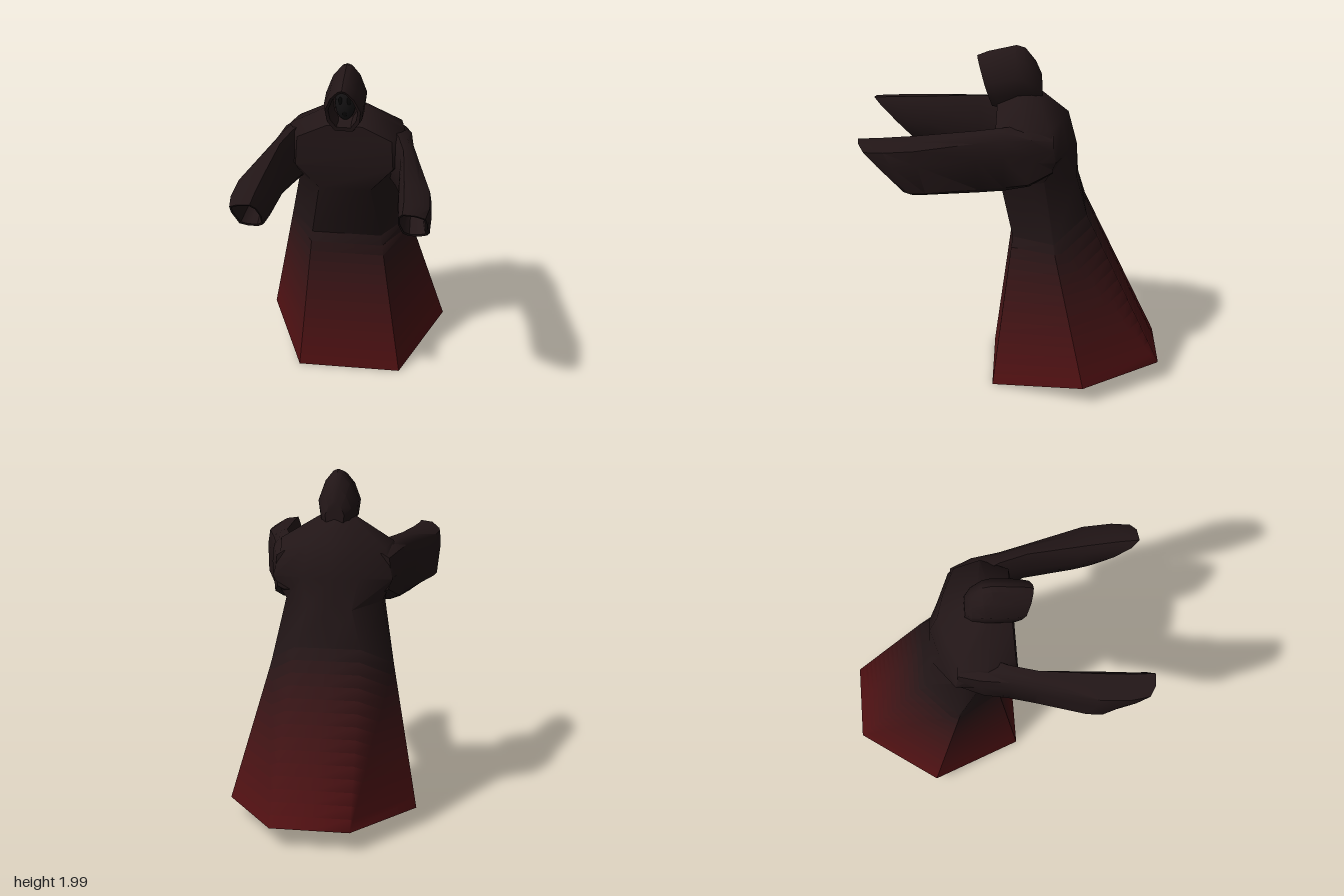
import * as THREE from 'three';
import { toCreasedNormals } from 'three/addons/utils/BufferGeometryUtils.js';

const V = (x, y, z) => new THREE.Vector3(x, y, z);
const lerp = THREE.MathUtils.lerp;

// Skin a list of rings; each ring runs counter-clockwise seen from the loft's end.
function loft(rings, capStart, capEnd, crease) {
  const pos = [];
  const quad = (a, b, c, d) => [a, b, c, a, c, d].forEach(p => pos.push(p.x, p.y, p.z));
  const n = rings[0].length;
  for (let i = 0; i < rings.length - 1; i++) {
    for (let j = 0; j < n; j++) {
      const k = (j + 1) % n;
      quad(rings[i][j], rings[i][k], rings[i + 1][k], rings[i + 1][j]);
    }
  }
  // Caps are strips across the ring, joining opposite points
  for (let j = 0; j < (n - 1) / 2; j++) {
    const strip = r => [r[j], r[j + 1], r[n - 2 - j], r[n - 1 - j]];
    if (capStart) quad(...strip(rings[0]).reverse());
    if (capEnd) quad(...strip(rings[rings.length - 1]));
  }
  const g = new THREE.BufferGeometry();
  g.setAttribute('position', new THREE.Float32BufferAttribute(pos, 3));
  return toCreasedNormals(g, crease);
}

// Body ring from its left half (front, side, fold, back), mirrored about the spine point.
function bodyRing(half, spine) {
  const side = s => half.map(([x, y, z]) => V(spine[0] + s * x, y, z));
  return [...side(1), V(...spine), ...side(-1).reverse()];
}

// Ring facing +z from a unit outline, slanted so that z varies with height.
function slantRing(outline, [x0, x1, y0, y1, z0, z1]) {
  return outline.map(([u, v]) => V(lerp(x0, x1, u), lerp(y0, y1, v), lerp(z0, z1, v)));
}

export function createModel() {
  const model = new THREE.Group();
  const cloth = new THREE.Color(0x221617), red = new THREE.Color(0x521012);
  const material = color => new THREE.MeshStandardMaterial({ color, side: THREE.DoubleSide });
  const clothMat = material(cloth);
  const add = (name, geometry, mat, parent) => {
    const mesh = new THREE.Mesh(geometry, mat);
    mesh.name = name;
    parent.add(mesh);
    return mesh;
  };
  const group = (name, parent, x = 0) => {
    const g = new THREE.Group();
    g.name = name;
    g.position.x = x;
    parent.add(g);
    return g;
  };

  // Skirt: the fold runs from the back hem corner to the hip; colour fades upward
  const hem = bodyRing([[.31, .01, .13], [.545, .11, -.4], [.225, .12, -.86], [.225, .12, -.86]], [.01, .12, -.86]);
  const hip = bodyRing([[.205, .91, .01], [.355, .92, -.22], [.355, .92, -.23], [.19, 1.04, -.42]], [-.02, 1.04, -.42]);
  const skirt = group('skirt', model);
  const bands = 14;
  const level = t => hem.map((p, i) => p.clone().lerp(hip[i], t));
  for (let i = 0; i < bands; i++) {
    const color = red.clone().lerp(cloth, (i + 0.5) / bands);
    add('skirtBand', loft([level(i / bands), level((i + 1) / bands)], i === 0, false, 1.0), material(color), skirt);
  }

  // Upper robe from hip to collar
  const torso = [
    hip,
    bodyRing([[.15, 1.26, .09], [.285, 1.26, -.08], [.28, 1.27, -.17], [.13, 1.25, -.36]], [-.02, 1.25, -.37]),
    bodyRing([[.28, 1.42, .12], [.365, 1.42, -.06], [.345, 1.41, -.235], [.16, 1.42, -.31]], [-.02, 1.42, -.36]),
    bodyRing([[.27, 1.59, .105], [.33, 1.6, -.05], [.3, 1.58, -.2], [.14, 1.6, -.27]], [-.02, 1.61, -.31]),
    bodyRing([[.1, 1.67, .1], [.11, 1.73, -.02], [.1, 1.73, -.08], [.06, 1.73, -.13]], [-.02, 1.73, -.16]),
  ];
  add('torso', loft(torso, false, true, 1.0), clothMat, model);

  // Sleeves reaching forward, with slanted hollow cuffs
  const arms = group('arms', model, -.02);
  const sleeveOutline = [[.3, 0], [.65, 0], [.93, .08], [1, .6], [.95, .86], [.65, .97], [.2, 1], [.04, .85], [0, .5], [.1, .1]];
  const sleeveRings = [
    [.2, .33, 1.33, 1.56, -.22, -.22],
    [.2, .375, 1.26, 1.6, -.08, -.1],
    [.28, .395, 1.25, 1.605, .06, .06],
    [.325, .435, 1.255, 1.6, .2, .22],
    [.345, .53, 1.265, 1.58, .48, .56],
    [.36, .54, 1.268, 1.573, .56, .74],
    [.368, .525, 1.275, 1.57, .585, .86],
    [.377, .515, 1.29, 1.557, .59, .85],
    [.385, .46, 1.38, 1.53, .35, .45],
  ].map(r => slantRing(sleeveOutline, r));
  const mirrored = sleeveRings.map(r => r.map(p => V(-p.x, p.y, p.z)).reverse());
  add('leftSleeve', loft(sleeveRings, true, true, 0.8), clothMat, arms);
  add('rightSleeve', loft(mirrored, true, true, 0.8), clothMat, arms);

  // Pointed hood with a deep face opening
  const head = group('head', model, -.02);
  const hoodOutline = [[.25, 0], [.75, 0], [.95, .22], [1, .5], [.83, .8], [.62, .97], [.5, 1], [.38, .97], [.17, .8], [0, .5], [.05, .22]];
  const hoodRings = [
    [.055, 1.68, 1.83, -.16, -.155],
    [.09, 1.67, 1.91, -.12, -.12],
    [.11, 1.66, 1.985, -.04, -.06],
    [.115, 1.655, 2, .02, -.01],
    [.112, 1.65, 1.965, .1, .15],
    [.1, 1.655, 1.94, .13, .215],
    [.082, 1.68, 1.92, .135, .2],
    [.07, 1.69, 1.9, .03, .05],
  ].map(([w, y0, y1, z0, z1]) => slantRing(hoodOutline, [-w, w, y0, y1, z0, z1]));
  add('hood', loft(hoodRings, true, true, 0.6), clothMat, head);

  // Shadowed face with hollow eyes and mouth
  const ball = new THREE.SphereGeometry(1, 14, 10);
  const faceMat = material(0x141213), hollowMat = material(0x060505);
  const oval = (name, mat, x, y, z, sx, sy, sz) => {
    const mesh = add(name, ball, mat, head);
    mesh.position.set(x, y, z);
    mesh.scale.set(sx, sy, sz);
  };
  oval('face', faceMat, 0, 1.79, .05, .058, .1, .045);
  for (const s of [-1, 1]) oval('eye', hollowMat, s * .024, 1.82, .085, .013, .024, .01);
  oval('mouth', hollowMat, 0, 1.745, .083, .013, .025, .01);

  return model;
}
